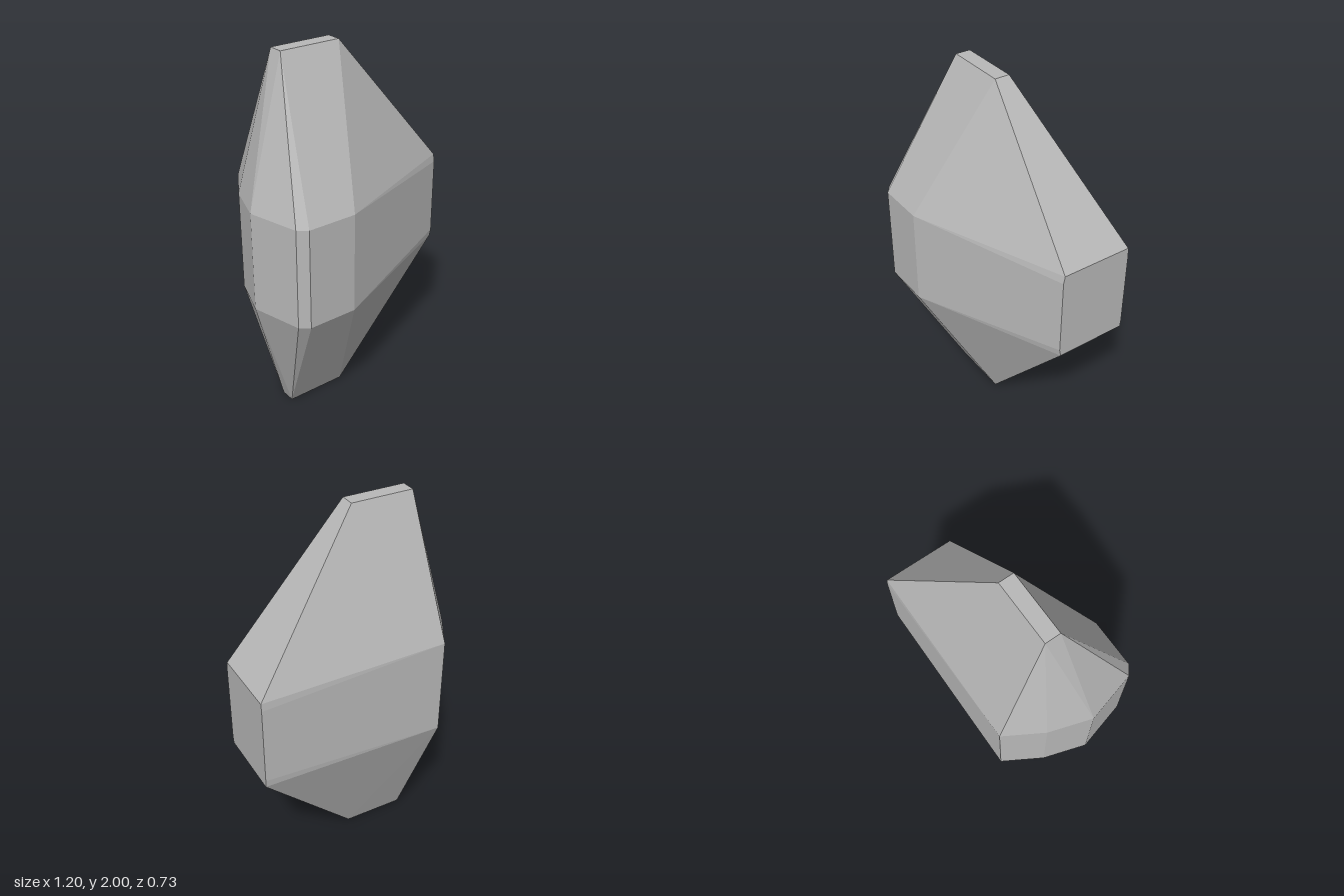
import * as THREE from 'three';
import { ConvexGeometry } from 'three/addons/geometries/ConvexGeometry.js';

const stoneGrey = new THREE.MeshStandardMaterial({ color: 0xb8b8b8 });
stoneGrey.name = 'stoneGrey';

export function createModel() {
  const group = new THREE.Group();
  group.name = 'crystal';

  // Upper half outlines as [x, height above the middle, z]
  const tip = [[-0.36, 1, -0.09], [-0.36, 1, -0.01], [-0.025, 1, -0.01], [-0.025, 1, -0.09]];
  const girdle = [
    [-0.603, 0.268, 0.055], [-0.53, 0.268, 0.328], [-0.48, 0.268, 0.365], [-0.215, 0.268, 0.365],
    [-0.413, 0.268, -0.368], [-0.53, 0.268, -0.17],
  ];
  // Flat right end with slightly bevelled corners
  const end = [[0.6, 0.253, 0.026], [0.6, 0.212, 0.034], [0.6, 0.253, -0.364], [0.6, 0.212, -0.368]];

  // Mirror the outlines above and below the middle, then wrap them in facets
  const points = [];
  for (const [x, y, z] of [...tip, ...girdle, ...end]) {
    points.push(new THREE.Vector3(x, 1 + y, z), new THREE.Vector3(x, 1 - y, z));
  }
  const stone = new THREE.Mesh(new ConvexGeometry(points), stoneGrey);
  stone.name = 'facetedStone';
  group.add(stone);
  return group;
}
